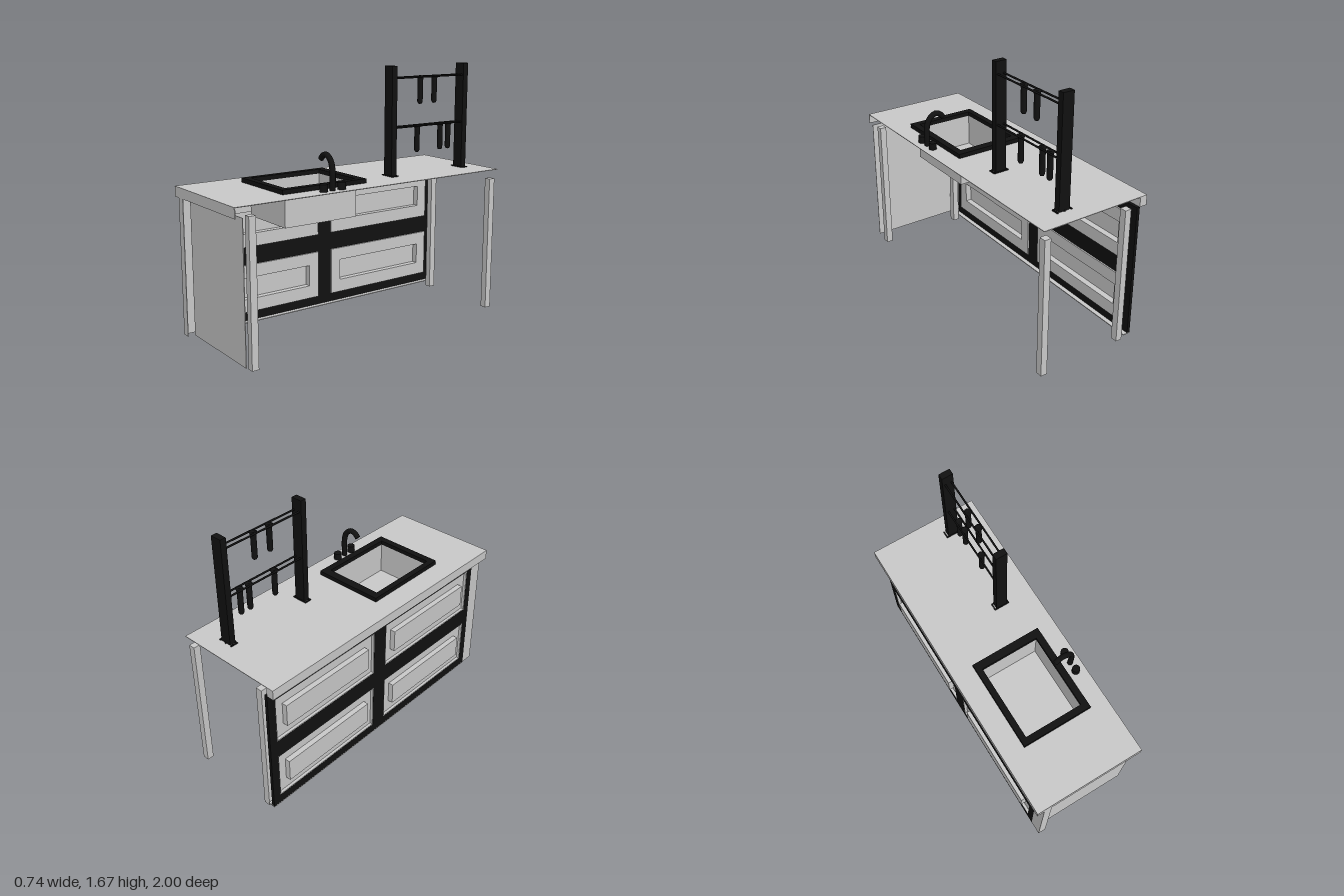
import * as THREE from 'three';

const grey = new THREE.MeshStandardMaterial({ color: 0xcccccc });
const black = new THREE.MeshStandardMaterial({ color: 0x111111 });

export function createModel() {
  const model = new THREE.Group();

  function add(name, geometry, material, x = 0, y = 0, z = 0) {
    const mesh = new THREE.Mesh(geometry, material);
    mesh.name = name;
    mesh.position.set(x, y, z);
    model.add(mesh);
    return mesh;
  }

  // Box given by its lower and upper limits on each axis
  function box(name, material, [x0, x1], [y0, y1], [z0, z1]) {
    return add(name, new THREE.BoxGeometry(x1 - x0, y1 - y0, z1 - z0), material,
      (x0 + x1) / 2, (y0 + y1) / 2, (z0 + z1) / 2);
  }

  // Slab outlined by [u0, u1, v0, v1] with rectangular holes
  function slab([u0, u1, v0, v1], holes, depth) {
    const corners = (a, b, c, d) => [[a, c], [b, c], [b, d], [a, d]].map(p => new THREE.Vector2(...p));
    const shape = new THREE.Shape(corners(u0, u1, v0, v1));
    holes.forEach(h => shape.holes.push(new THREE.Path(corners(...h))));
    return new THREE.ExtrudeGeometry(shape, { depth, bevelEnabled: false });
  }

  // Horizontal slab: outline in x, z; extends downward from y
  const flat = (name, material, outline, holes, y, depth) =>
    add(name, slab(outline, holes, depth).rotateX(Math.PI / 2), material, 0, y, 0);

  // Upright slab: outline in z, y; spans x0 to x1
  const upright = (name, material, outline, holes, x0, x1) =>
    add(name, slab(outline, holes, x1 - x0).rotateY(-Math.PI / 2), material, x1, 0, 0);

  const inset = ([a, b, c, d], t) => [a + t, b - t, c + t, d - t];

  // Countertop with sink cut-out and two edge aprons
  flat('countertop', grey, [-0.37, 0.37, -1, 1], [[-0.212, 0.237, 0.022, 0.612]], 0.97, 0.004);
  box('drawerSideApron', grey, [-0.37, -0.32], [0.905, 0.966], [-1, 1]);
  box('endApron', grey, [-0.32, 0.37], [0.905, 0.966], [0.994, 1]);

  // Sink: black rim and open basin
  const bowl = [-0.19, 0.21, 0.065, 0.58];
  flat('sinkRim', black, [-0.225, 0.25, 0.015, 0.62], [inset(bowl, 0.004)], 1.0, 0.028);
  flat('basinWalls', grey, bowl, [inset(bowl, 0.004)], 0.972, 0.212);
  flat('basinFloor', grey, bowl, [], 0.764, 0.004);

  // Legs, end panel and hollow corner pilaster
  for (const x of [-0.2425, 0.335])
    for (const z of [0.8825, -0.9675])
      box('leg', grey, [x - 0.0215, x + 0.0215], [0, 0.905], [z - 0.0225, z + 0.0225]);
  box('endPanel', grey, [-0.267, 0.37], [0.035, 0.905], [0.948, 0.952]);
  box('pilasterFront', grey, [-0.32, -0.267], [0.035, 0.905], [0.996, 1]);
  box('pilasterSide', grey, [-0.32, -0.316], [0.035, 0.905], [0.911, 0.996]);
  box('bottomLedge', grey, [-0.32, -0.27], [0.03, 0.036], [-1, 0.905]);

  // Black drawer frame with four recessed, hollow-panelled drawer fronts
  const columns = [[0.007, 0.86], [-0.945, -0.1]];
  const rows = [[0.095, 0.41], [0.53, 0.845]];
  const openings = columns.flatMap(c => rows.map(r => [...c, ...r]));
  upright('drawerFrame', black, [-1, 0.911, 0.036, 0.905], openings, -0.32, -0.3);
  for (const o of openings) {
    const panel = [o[0] + 0.071, o[1] - 0.071, o[2] + 0.083, o[3] - 0.081];
    upright('drawerRecess', grey, o, [inset(o, 0.005)], -0.319, -0.29);
    upright('drawerFront', grey, o, [panel], -0.3, -0.29);
    upright('raisedPanelSides', grey, panel, [inset(panel, 0.004)], -0.335, -0.29);
    upright('raisedPanelFace', grey, panel, [], -0.335, -0.331);
  }

  // Faucet: curved spout with capped ends and two knobs
  const spout = new THREE.CatmullRomCurve3([
    [0.305, 0.96], [0.305, 1.09], [0.287, 1.145], [0.245, 1.175], [0.212, 1.168], [0.187, 1.145],
  ].map(([x, y]) => new THREE.Vector3(x, y, 0.308)));
  add('faucetSpout', new THREE.TubeGeometry(spout, 24, 0.018, 12), black);
  for (const [t, sign] of [[0, -1], [1, 1]]) {
    const end = spout.getPoint(t);
    add('spoutCap', new THREE.CircleGeometry(0.018, 12), black, ...end)
      .lookAt(end.clone().addScaledVector(spout.getTangent(t), sign));
  }
  for (const [name, z] of [['leftKnob', 0.372], ['rightKnob', 0.242]])
    add(name, new THREE.CylinderGeometry(0.025, 0.025, 0.055, 16), black, 0.305, 0.9875, z);

  // Utensil rack: two posts on ribbed feet, joined by paired rods
  for (const z of [-0.26, -0.865]) {
    box('rackPost', black, [0.105, 0.18], [0.972, 1.67], [z - 0.02, z + 0.02]);
    box('rackFoot', black, [0.09, 0.195], [0.964, 0.977], [z + 0.017, z + 0.025]);
    for (const x of [0.094, 0.1425, 0.191])
      box('rackFootRib', black, [x - 0.004, x + 0.004], [0.964, 0.977], [z - 0.025, z + 0.017]);
  }
  box('rackFootEdge', black, [0.09, 0.195], [0.964, 0.977], [-0.285, -0.277]);
  for (const y of [1.28, 1.593])
    for (const x of [0.124, 0.166])
      add('rackRod', new THREE.CylinderGeometry(0.006, 0.006, 0.6, 8).rotateX(Math.PI / 2), black, x, y, -0.5625);

  // Hanging utensils: flared top, straight handle, rounded lower end
  const handle = [[0, -0.176], [0.012, -0.172], [0.018, -0.16], [0.018, -0.02], [0.024, 0.004], [0.012, 0.008], [0, 0]];
  const utensil = new THREE.LatheGeometry(handle.map(p => new THREE.Vector2(...p)), 14);
  for (const [y, z] of [[1.28, -0.48], [1.28, -0.68], [1.28, -0.75], [1.593, -0.5], [1.593, -0.62]])
    add('hangingUtensil', utensil, black, 0.144, y, z);

  return model;
}
